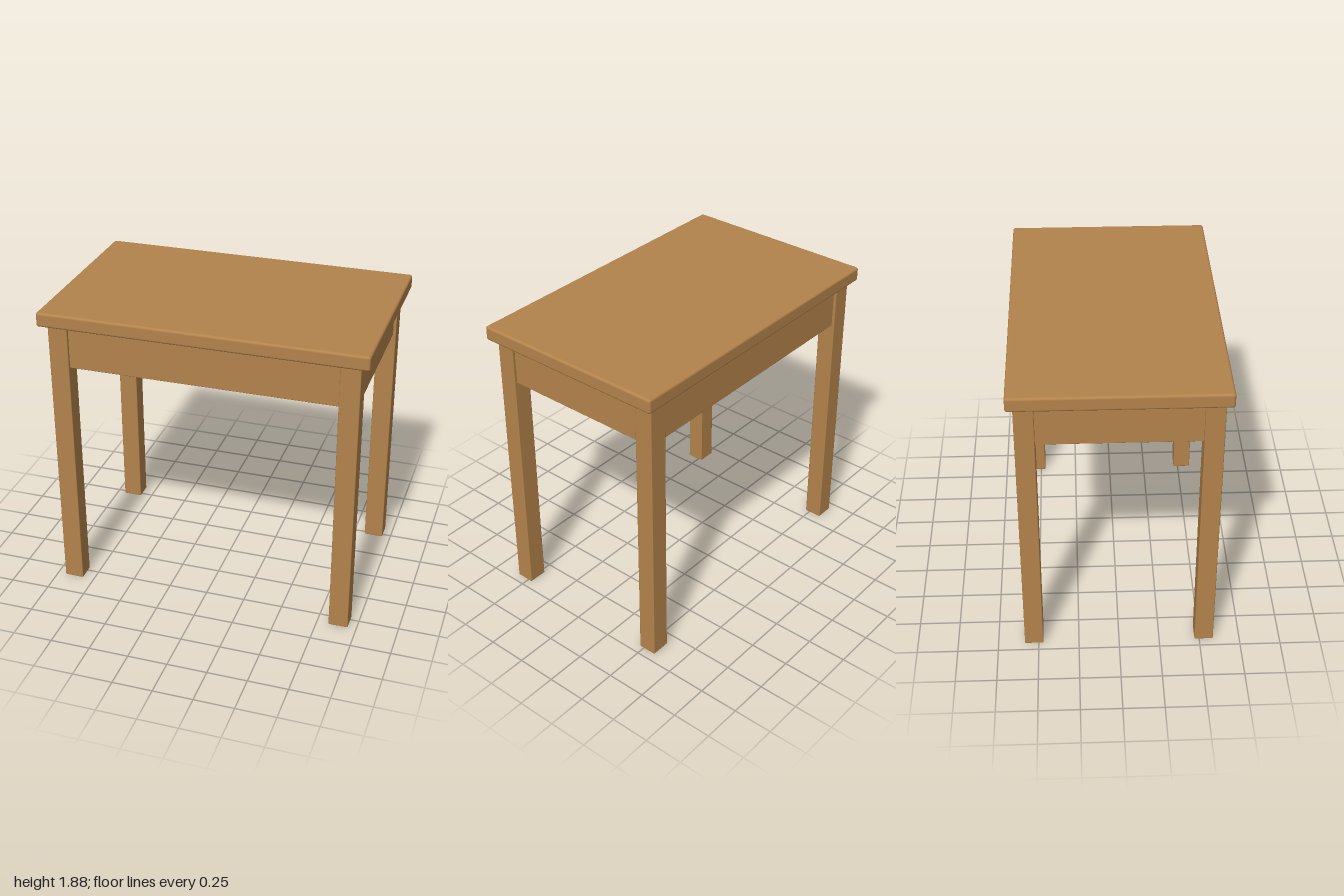
import * as THREE from 'three';
import { RoundedBoxGeometry } from 'three/addons/geometries/RoundedBoxGeometry.js';

export function createModel() {
  const table = new THREE.Group();
  table.name = 'table';
  const wood = new THREE.MeshStandardMaterial({ color: 0xb3834b });
  wood.name = 'wood';

  // Adds a softly rounded board, given its size and centre
  function board(name, [w, h, d], [x, y, z], radius) {
    const mesh = new THREE.Mesh(new RoundedBoxGeometry(w, h, d, 3, radius), wood);
    mesh.name = name;
    mesh.position.set(x, y, z);
    table.add(mesh);
  }

  // Table top with eased edges
  board('tableTop', [2, 0.09, 1.25], [0, 1.835, 0], 0.015);

  for (const s of [1, -1]) {
    // Square legs, front and back on each side
    for (const t of [1, -1]) {
      const name = (t > 0 ? 'front' : 'back') + (s > 0 ? 'Left' : 'Right') + 'Leg';
      board(name, [0.122, 1.79, 0.115], [s * 0.885, 0.895, t * 0.528], 0.006);
    }
    // Aprons between the legs, set slightly back from their outer faces
    board(s > 0 ? 'frontApron' : 'backApron', [1.66, 0.27, 0.045], [0, 1.655, s * 0.545], 0.004);
    board(s > 0 ? 'leftApron' : 'rightApron', [0.045, 0.27, 0.96], [s * 0.905, 1.655, 0], 0.004);
  }
  return table;
}
